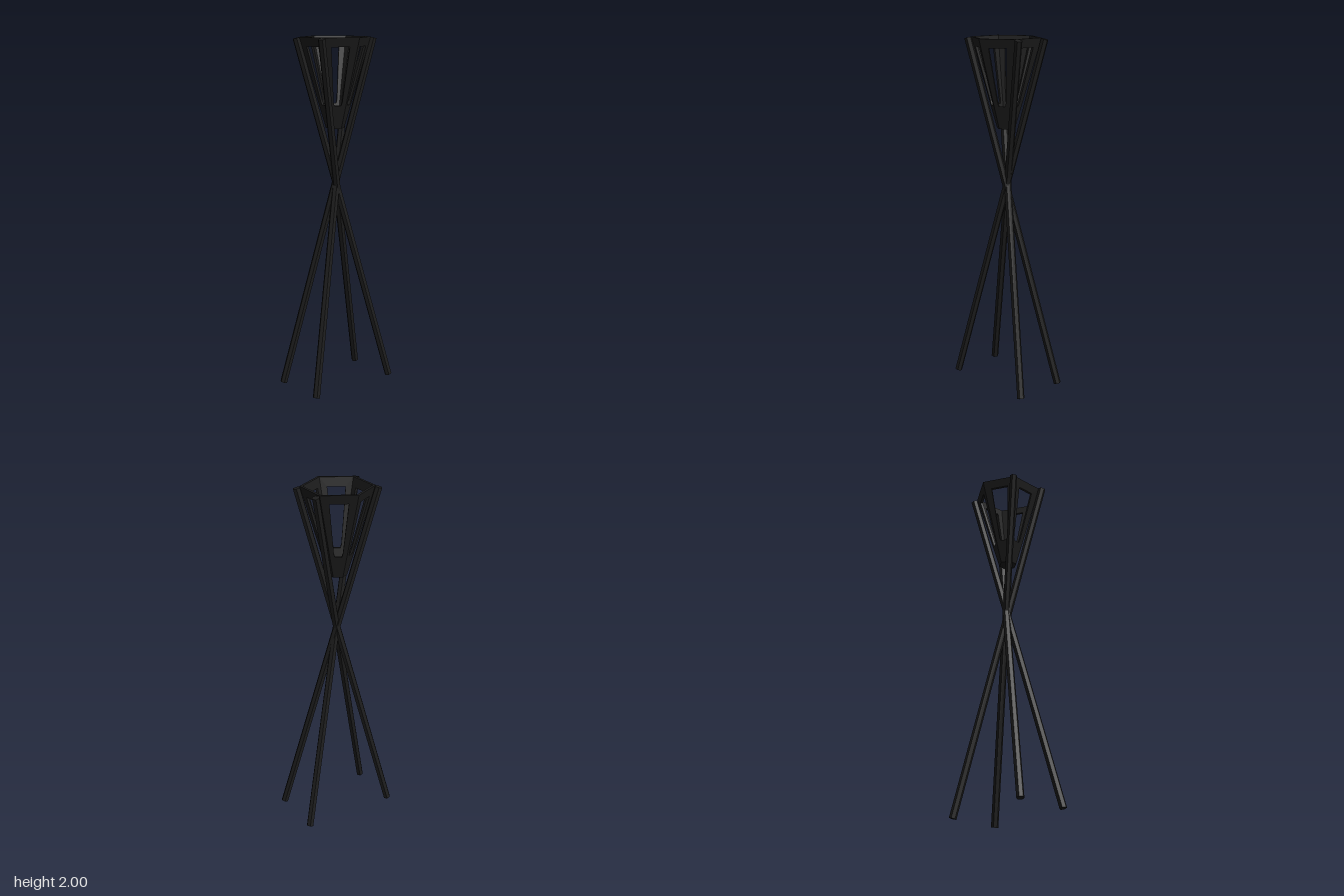
import * as THREE from 'three';

const black = new THREE.MeshStandardMaterial({ color: 0x1c1c1c });
black.name = 'black metal';

const BOTTOM = 1.5, TOP = 2, WALL = 0.014, TAN30 = Math.tan(Math.PI / 6);
// distance from the basket axis to the outside of a panel at height y
const apothem = (y) => 0.045 + 0.256 * (y - BOTTOM);

// One sloping basket panel with a tapered window, mitred at both sides
function panelGeometry() {
  const b = apothem(BOTTOM) * TAN30, t = apothem(TOP) * TAN30;
  const shape = new THREE.Shape([[-b, BOTTOM], [b, BOTTOM], [t, TOP], [-t, TOP]]
    .map((p) => new THREE.Vector2(...p)));
  const hole = [[-0.018, 1.63], [-0.024, 1.65], [-0.05, 1.95], [0.05, 1.95], [0.024, 1.65], [0.018, 1.63]];
  shape.holes.push(new THREE.Path(hole.map((p) => new THREE.Vector2(...p))));
  const geo = new THREE.ExtrudeGeometry(shape, { depth: 1, bevelEnabled: false });
  const pos = geo.attributes.position;
  for (let i = 0; i < pos.count; i++) {
    const x = pos.getX(i), y = pos.getY(i);
    const inset = (1 - pos.getZ(i)) * WALL;
    const a = apothem(y);
    const onSide = Math.abs(Math.abs(x) - a * TAN30) < 1e-4;
    pos.setXYZ(i, onSide ? Math.sign(x) * (a - inset) * TAN30 : x, y, a - inset);
  }
  geo.computeVertexNormals();
  return geo;
}

// Six-sided rod between two points
function rod(from, to, radius) {
  const a = new THREE.Vector3(...from), b = new THREE.Vector3(...to);
  const dir = b.clone().sub(a);
  const geo = new THREE.CylinderGeometry(radius, radius, dir.length(), 6).toNonIndexed();
  geo.computeVertexNormals();
  const mesh = new THREE.Mesh(geo, black);
  mesh.position.copy(a).add(b).multiplyScalar(0.5);
  mesh.quaternion.setFromUnitVectors(new THREE.Vector3(0, 1, 0), dir.normalize());
  return mesh;
}

export function createModel() {
  const model = new THREE.Group();
  model.name = 'fireBasketStand';

  // Hexagonal basket
  const basket = new THREE.Group();
  basket.name = 'basket';
  basket.position.z = 0.01;
  const panel = panelGeometry();
  for (let i = 0; i < 6; i++) {
    const mesh = new THREE.Mesh(panel, black);
    mesh.name = 'basketPanel';
    mesh.rotation.y = i * Math.PI / 3;
    basket.add(mesh);
  }
  const floorGeo = new THREE.CylinderGeometry(0.05, 0.05, 0.004, 6, 1, false, Math.PI / 2).toNonIndexed();
  floorGeo.computeVertexNormals();
  const floor = new THREE.Mesh(floorGeo, black);
  floor.name = 'basketFloor';
  floor.position.y = BOTTOM + 0.003;
  basket.add(floor);
  model.add(basket);

  // Four crossing legs: foot x, z and top x, z
  const legs = [
    [-0.156, 0.275, 0.095, -0.184],
    [0.145, 0.275, -0.1, -0.186],
    [-0.143, -0.275, 0.11, 0.198],
    [0.157, -0.275, -0.115, 0.19],
  ];
  for (const [fx, fz, tx, tz] of legs) {
    const leg = rod([fx, 0.006, fz], [tx, 1.994, tz], 0.021);
    leg.name = 'leg';
    model.add(leg);
  }
  return model;
}
